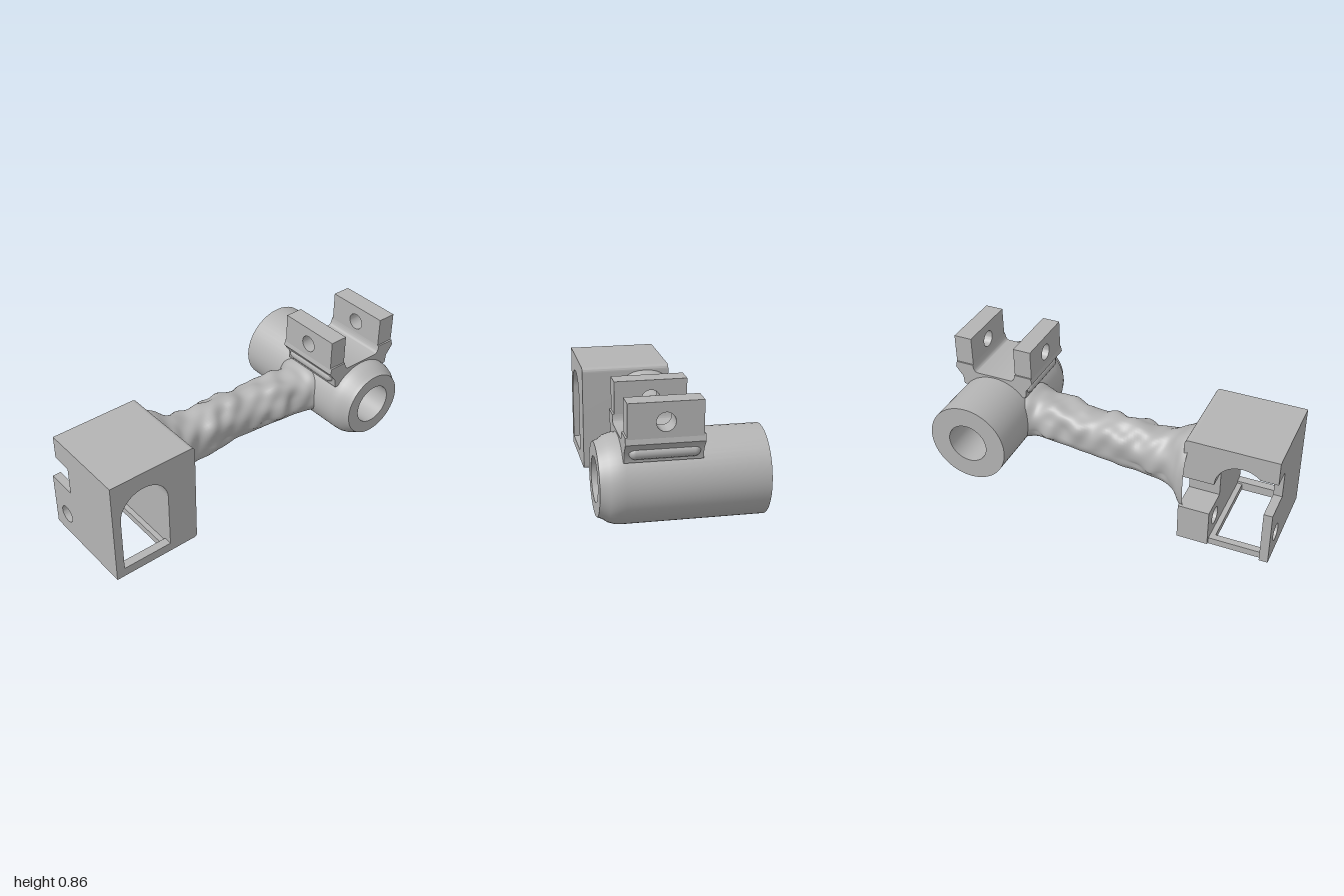
import * as THREE from 'three';
import { toCreasedNormals } from 'three/addons/utils/BufferGeometryUtils.js';

const grey = new THREE.MeshStandardMaterial({ color: 0xb4b4b4 });
grey.name = 'plain grey';

const V = (x, y) => new THREE.Vector2(x, y);

function part(name, geometry, parent) {
  const mesh = new THREE.Mesh(geometry, grey);
  mesh.name = name;
  parent.add(mesh);
  return mesh;
}

// Extrude an x-y shape from z0 to z1
function alongZ(shape, z0, z1) {
  const g = new THREE.ExtrudeGeometry(shape, { depth: z1 - z0, bevelEnabled: false, curveSegments: 20 });
  g.translate(0, 0, z0);
  return toCreasedNormals(g, 0.6);
}

// Plate across x, spanning z and y, with one round hole
function drilledPlate(x0, x1, z0, z1, y0, y1, holeZ, holeY, r) {
  const s = new THREE.Shape([V(-z1, y0), V(-z0, y0), V(-z0, y1), V(-z1, y1)]);
  const hole = new THREE.Path();
  hole.absarc(-holeZ, holeY, r, 0, Math.PI * 2, true);
  s.holes.push(hole);
  const g = new THREE.ExtrudeGeometry(s, { depth: x1 - x0, bevelEnabled: false, curveSegments: 20 });
  g.rotateY(Math.PI / 2);
  g.translate(x0, 0, 0);
  return toCreasedNormals(g, 0.6);
}

function block(x0, x1, y0, y1, z0, z1) {
  return new THREE.BoxGeometry(x1 - x0, y1 - y0, z1 - z0)
    .translate((x0 + x1) / 2, (y0 + y1) / 2, (z0 + z1) / 2);
}

// Hollow housing with an arched tunnel
function makeHousing() {
  const g = new THREE.Group();
  g.name = 'housing';

  const shell = new THREE.Shape();
  shell.moveTo(-1, 0);
  shell.lineTo(-0.95, 0);
  shell.lineTo(-0.95, 0.39);
  shell.absarc(-0.8, 0.39, 0.15, Math.PI, 0, true);
  shell.lineTo(-0.65, 0);
  shell.lineTo(-0.49, 0);
  shell.quadraticCurveTo(-0.47, 0, -0.47, 0.02);
  shell.lineTo(-0.47, 0.61);
  shell.quadraticCurveTo(-0.47, 0.64, -0.5, 0.64);
  shell.lineTo(-1, 0.64);
  part('shell', alongZ(shell, -0.09, 0.32), g);

  // Rear lintel above the side notches
  const lintel = new THREE.Shape();
  lintel.moveTo(-1, 0.5);
  lintel.lineTo(-0.902, 0.5);
  lintel.absarc(-0.8, 0.39, 0.15, Math.PI - 0.823, 0, true);
  lintel.lineTo(-0.47, 0.39);
  lintel.lineTo(-0.47, 0.61);
  lintel.quadraticCurveTo(-0.47, 0.64, -0.5, 0.64);
  lintel.lineTo(-1, 0.64);
  part('rear lintel', alongZ(lintel, -0.21, -0.09), g);

  // Drilled rear tabs
  part('outer tab', drilledPlate(-1, -0.95, -0.27, -0.09, 0, 0.33, -0.155, 0.13, 0.05), g);
  part('inner tab', drilledPlate(-0.65, -0.47, -0.27, -0.09, 0.01, 0.23, -0.155, 0.13, 0.05), g);

  // Sills around the floor opening
  part('front sill', block(-0.95, -0.65, 0, 0.055, 0.27, 0.32), g);
  part('rear sill', block(-0.95, -0.65, 0, 0.04, -0.25, -0.21), g);
  part('side sill', block(-0.68, -0.65, 0, 0.04, -0.21, 0.27), g);
  return g;
}

// Gnarled arm: cross-sections [x, bottom, top, back, front]
function makeArm() {
  const stations = [
    [-0.49, 0.09, 0.62, -0.27, 0.14], [-0.455, 0.13, 0.605, -0.26, 0.135],
    [-0.41, 0.19, 0.575, -0.22, 0.11], [-0.35, 0.225, 0.55, -0.19, 0.1],
    [-0.25, 0.23, 0.52, -0.165, 0.1], [-0.1, 0.24, 0.535, -0.155, 0.1],
    [0.05, 0.25, 0.525, -0.145, 0.095], [0.2, 0.26, 0.515, -0.135, 0.12],
    [0.35, 0.26, 0.535, -0.125, 0.14], [0.48, 0.265, 0.525, -0.12, 0.165],
    [0.54, 0.26, 0.55, -0.15, 0.19], [0.6, 0.25, 0.55, -0.17, 0.2],
  ];
  const curve = (k) => new THREE.CatmullRomCurve3(
    stations.map((s) => new THREE.Vector3(s[0], s[k], s[k + 1])));
  const heights = curve(1), depths = curve(3);
  const N = 110, M = 56, pos = [], idx = [];
  for (let i = 0; i <= N; i++) {
    const a = heights.getPoint(i / N), b = depths.getPoint(i / N);
    const x = a.x;
    const fade = THREE.MathUtils.smoothstep(x, -0.48, -0.35) * (1 - THREE.MathUtils.smoothstep(x, 0.45, 0.56));
    for (let j = 0; j < M; j++) {
      const t = (j / M) * Math.PI * 2;
      const c = Math.cos(t), s = Math.sin(t);
      // Bumps and hollows, calmer on the underside
      const wave = Math.sin(17 * x + 3 * t) * Math.sin(11 * x - 2 * t + 1)
        + 0.7 * Math.sin(31 * x + 2 * t + 2) * Math.cos(3 * t - 9 * x)
        + 0.4 * Math.sin(47 * x - 5 * t);
      const k = 1 + 0.075 * wave * fade * (s < -0.4 ? 0.2 : 1);
      const cy = (a.y + a.z) / 2, cz = (b.y + b.z) / 2;
      const sq = (v) => Math.sign(v) * Math.pow(Math.abs(v), 0.85);
      pos.push(x, cy + sq(s) * k * (a.z - a.y) / 2, cz + sq(c) * k * (b.z - b.y) / 2);
      if (i < N) {
        const p = i * M + j, q = i * M + (j + 1) % M;
        idx.push(p, p + M, q, q, p + M, q + M);
      }
    }
  }
  const g = new THREE.BufferGeometry();
  g.setAttribute('position', new THREE.Float32BufferAttribute(pos, 3));
  g.setIndex(idx);
  g.computeVertexNormals();
  return g;
}

// Bored sleeve with a rounded front shoulder
function makeSleeve() {
  const profile = [
    V(0.117, -0.425), V(0.233, -0.425), V(0.233, 0.3), V(0.23, 0.34), V(0.218, 0.375),
    V(0.2, 0.4), V(0.19, 0.425), V(0.117, 0.425), V(0.117, -0.425),
  ];
  const g = new THREE.LatheGeometry(profile, 48);
  g.rotateX(Math.PI / 2);
  g.translate(0.745, 0.403, 0);
  return toCreasedNormals(g, 0.6);
}

// Two-eared clevis on a flared saddle
function makeClevis() {
  const g = new THREE.Group();
  g.name = 'clevis';
  const saddle = new THREE.Shape();
  saddle.moveTo(0.545, 0.55);
  saddle.lineTo(0.945, 0.55);
  saddle.lineTo(0.95, 0.6);
  saddle.lineTo(0.993, 0.655);
  saddle.lineTo(0.985, 0.69);
  saddle.lineTo(0.88, 0.69);
  saddle.quadraticCurveTo(0.875, 0.645, 0.85, 0.645);
  saddle.lineTo(0.64, 0.645);
  saddle.quadraticCurveTo(0.615, 0.645, 0.61, 0.69);
  saddle.lineTo(0.507, 0.69);
  saddle.lineTo(0.499, 0.655);
  saddle.lineTo(0.54, 0.6);
  part('saddle', alongZ(saddle, -0.083, 0.31), g);
  for (const [name, x0, x1] of [['right', 0.505, 0.61], ['left', 0.88, 0.987]]) {
    part(name + ' ear', drilledPlate(x0, x1, -0.075, 0.3, 0.68, 0.86, 0.112, 0.76, 0.048), g);
    const bead = new THREE.CapsuleGeometry(0.032, 0.29, 8, 16);
    bead.rotateX(Math.PI / 2);
    bead.translate(name === 'left' ? 0.942 : 0.55, 0.598, 0.11);
    part(name + ' bead', bead, g);
  }
  return g;
}

export function createModel() {
  const model = new THREE.Group();
  model.name = 'linkArm';
  model.add(makeHousing());
  part('arm', makeArm(), model);
  part('sleeve', makeSleeve(), model);
  model.add(makeClevis());
  return model;
}
